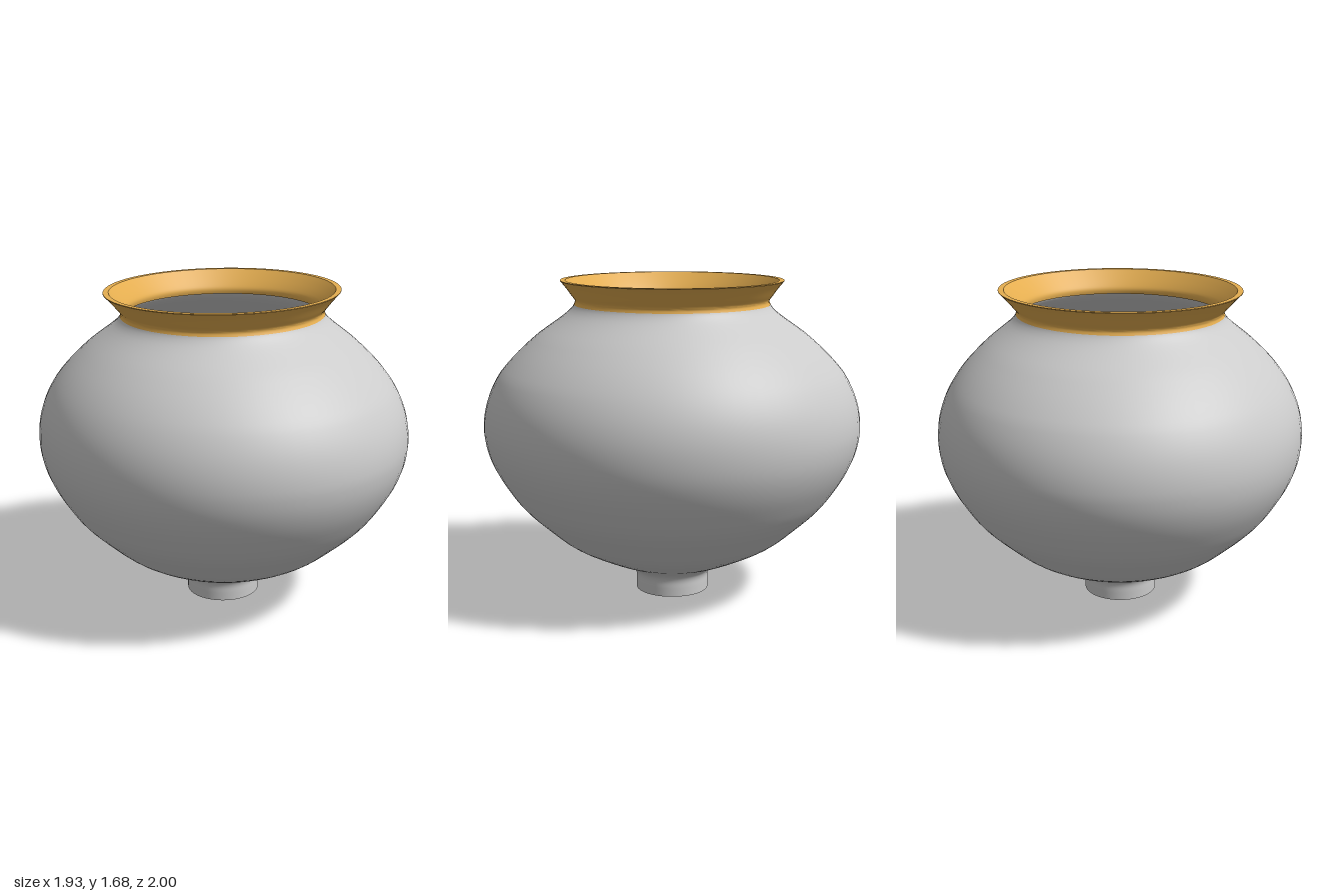
import * as THREE from 'three';
import { mergeVertices, toCreasedNormals } from 'three/addons/utils/BufferGeometryUtils.js';

// Depth-to-width ratio by height: round foot, deeper belly, narrower mouth
const RATIOS = [[0, 1], [0.1, 1], [0.3, 1.02], [0.9, 1.038], [1.2, 1.03], [1.4, 1.0], [1.57, 0.945], [1.69, 0.925]];

function depthRatio(y) {
  for (let i = 1; i < RATIOS.length; i++) {
    const [y0, r0] = RATIOS[i - 1];
    const [y1, r1] = RATIOS[i];
    if (y <= y1) return THREE.MathUtils.lerp(r0, r1, (y - y0) / (y1 - y0));
  }
  return RATIOS[RATIOS.length - 1][1];
}

// Lathe a profile of points, then stretch it in z to make its oval section
function ovalLathe(points) {
  const lathe = new THREE.LatheGeometry(points, 72);
  lathe.deleteAttribute('uv');
  lathe.deleteAttribute('normal');
  const geometry = mergeVertices(lathe, 1e-4);
  const p = geometry.attributes.position;
  for (let i = 0; i < p.count; i++) p.setZ(i, p.getZ(i) * depthRatio(p.getY(i)));
  geometry.computeVertexNormals();
  return geometry;
}

const toPoints = (list) => list.map(([r, y]) => new THREE.Vector2(r, y));
const smooth = (list, n) => new THREE.SplineCurve(toPoints(list)).getPoints(n);

export function createModel() {
  const group = new THREE.Group();
  group.name = 'vase';

  // Thin-walled bowl with an open tubular foot
  const bodyProfile = smooth([
    [0.195, 0], [0.195, 0.045], [0.196, 0.085], [0.212, 0.115], [0.26, 0.145], [0.39, 0.2],
    [0.56, 0.29], [0.69, 0.4], [0.79, 0.5], [0.86, 0.6], [0.915, 0.7], [0.95, 0.8],
    [0.963, 0.9], [0.957, 1.0], [0.93, 1.1], [0.88, 1.2], [0.805, 1.3], [0.705, 1.4],
    [0.59, 1.495], [0.552, 1.535], [0.54, 1.56],
  ], 80);
  const body = new THREE.Mesh(
    ovalLathe(bodyProfile),
    new THREE.MeshStandardMaterial({ color: 0xcccccc, side: THREE.DoubleSide }),
  );
  body.name = 'body';

  // Flared rim: outside going up, flat lip, inside going down
  const outside = smooth([[0.543, 1.553], [0.54, 1.575], [0.565, 1.605], [0.6, 1.645], [0.632, 1.677]], 14);
  const inside = smooth([[0.603, 1.68], [0.575, 1.65], [0.54, 1.61], [0.52, 1.58], [0.52, 1.553]], 14);
  const rimProfile = [...outside, ...toPoints([[0.632, 1.68]]), ...inside, outside[0].clone()];
  const rim = new THREE.Mesh(
    toCreasedNormals(ovalLathe(rimProfile), 0.75),
    new THREE.MeshStandardMaterial({ color: 0xe5ae50 }),
  );
  rim.name = 'rim';

  group.add(body, rim);
  return group;
}
